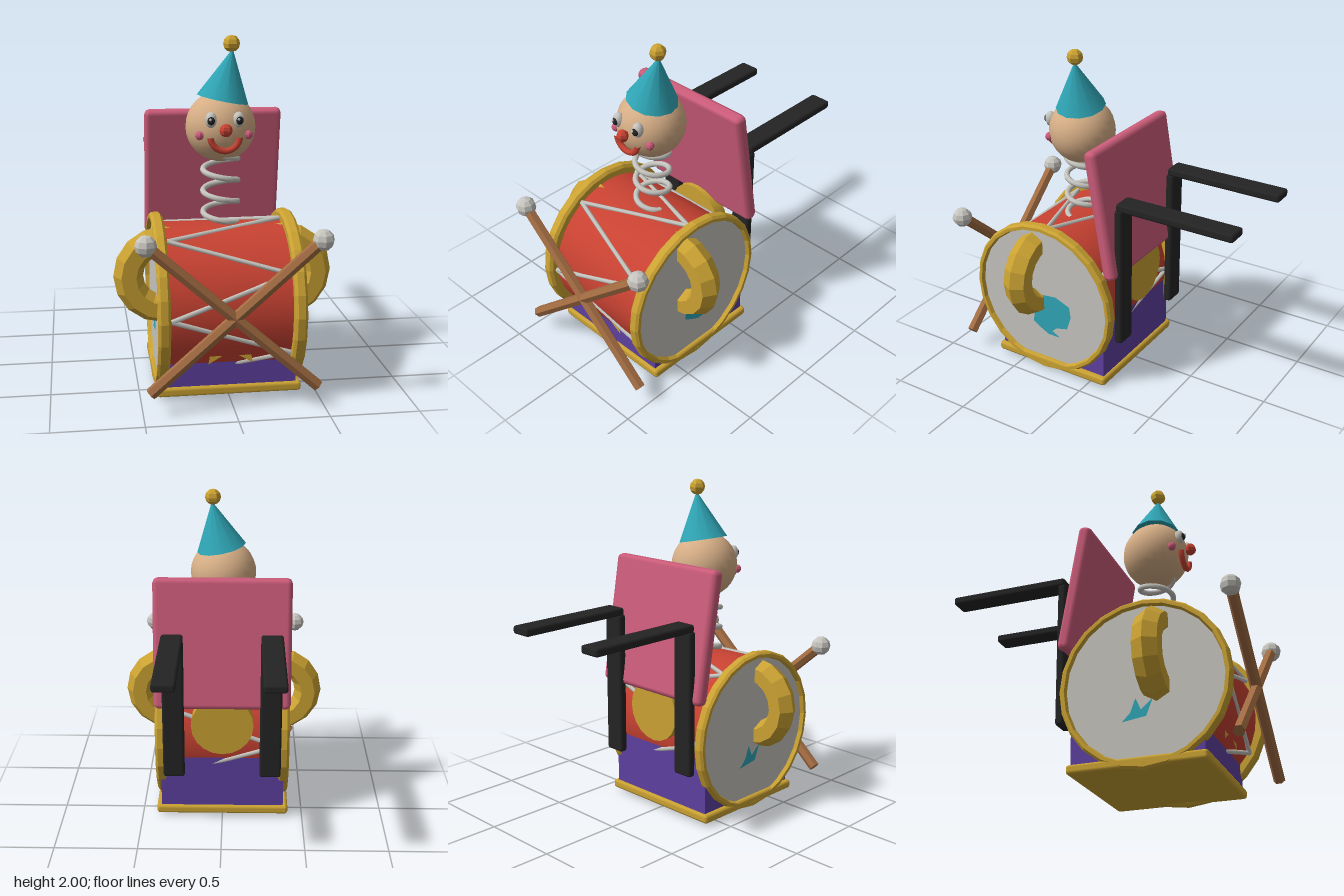
import * as THREE from 'three';
import { RoundedBoxGeometry } from 'three/addons/geometries/RoundedBoxGeometry.js';

const mat = (name, color) => {
  const m = new THREE.MeshStandardMaterial({ color });
  m.name = name;
  return m;
};

export function createModel() {
  const root = new THREE.Group();
  const gold = mat('gold', 0xcba232), red = mat('red', 0xc84232), cyan = mat('cyan', 0x2fa5b5);
  const pink = mat('pink', 0xcc5c7a), purple = mat('purple', 0x5e40a0), white = mat('white', 0xc6c4be);
  const black = mat('black', 0x242424), brown = mat('brown', 0xa26c42), skin = mat('skin', 0xd6ae86);
  cyan.side = gold.side = THREE.DoubleSide;

  const add = (name, geo, material, x = 0, y = 0, z = 0, parent = root) => {
    const m = new THREE.Mesh(geo, material);
    m.name = name;
    m.position.set(x, y, z);
    parent.add(m);
    return m;
  };
  // faceted copy of a geometry
  const flat = (g) => {
    const f = g.index ? g.toNonIndexed() : g;
    f.computeVertexNormals();
    return f;
  };
  const box = (w, h, d, r) => new RoundedBoxGeometry(w, h, d, 1, r);
  const polygon = (pts) => new THREE.ShapeGeometry(new THREE.Shape(pts.map(([x, y]) => new THREE.Vector2(x, y))));

  // Box base
  add('baseTrim', box(0.82, 0.055, 0.8, 0.018), gold, 0, 0.047, 0.28);
  add('boxBody', new THREE.BoxGeometry(0.76, 0.4, 0.76), purple, 0, 0.26, 0.28);

  // Drum, axis along x
  const drum = new THREE.Group();
  drum.name = 'drum';
  drum.position.set(0, 0.498, 0.33);
  root.add(drum);
  add('drumShell', new THREE.CylinderGeometry(0.44, 0.44, 0.72, 32), red, 0, 0, 0, drum).rotation.z = Math.PI / 2;
  const rim = flat(new THREE.LatheGeometry([
    [0.43, 0.34], [0.48, 0.34], [0.497, 0.355], [0.497, 0.395], [0.485, 0.41], [0.465, 0.41], [0.455, 0.38], [0.43, 0.34],
  ].map(([r, y]) => new THREE.Vector2(r, y)), 24));
  const patch = polygon([[-0.1, 0.31], [-0.09, 0.42], [-0.02, 0.52], [0.07, 0.53], [0.17, 0.49], [0.18, 0.42],
    [0.15, 0.33], [0.07, 0.31], [0.04, 0.28], [0.1, 0.25], [0.01, 0.25], [-0.05, 0.28]]);
  const smallPatch = polygon([[-0.08, 0.28], [0.06, 0.3], [0.1, 0.4], [0.03, 0.34], [0, 0.41], [-0.03, 0.33]]);
  for (const s of [1, -1]) {
    add('drumRim', rim, gold, 0, 0, 0, drum).rotation.z = -s * Math.PI / 2;
    add('drumHead', new THREE.CylinderGeometry(0.458, 0.458, 0.025, 24), white, s * 0.373, 0, 0, drum).rotation.z = Math.PI / 2;
    add('headPatch', s > 0 ? patch : smallPatch, cyan, s * 0.389, 0, s > 0 ? 0.31 : 0.28).rotation.y = s * Math.PI / 2;
    // ring handle, half sunk in the drum
    add('sideRing', flat(new THREE.TorusGeometry(0.2, 0.085, 6, 16)), gold, s * 0.345, 0.655, 0.4);
    // ornament tips on the front
    add('frontOrnament', polygon([[-s * 0.125, 0.215], [-s * 0.11, 0.3], [s * 0.02, 0.3]]), gold, 0, 0, 0.7);
  }

  // Zigzag lacing round the shell
  const lace = new THREE.CurvePath();
  const lacePoint = (k) => {
    const a = k * Math.PI / 6;
    return new THREE.Vector3(k % 2 ? -0.335 : 0.335, 0.452 * Math.cos(a), 0.452 * Math.sin(a));
  };
  for (let k = 0; k < 12; k++) lace.add(new THREE.LineCurve3(lacePoint(k), lacePoint(k + 1)));
  for (const line of lace.curves) add('lacing', new THREE.TubeGeometry(line, 1, 0.014, 6), white, 0, 0, 0, drum);

  // Round plate behind the drum
  add('backPlate', new THREE.CylinderGeometry(0.19, 0.19, 0.08, 20), gold, 0, 0.65, -0.115).rotation.x = Math.PI / 2;

  // Open lid
  add('lid', box(0.82, 0.79, 0.08, 0.03), pink, 0, 1.157, -0.09).rotation.x = 0.168;

  // Angled straps at the back
  for (const s of [1, -1]) {
    add('strapUpright', box(0.13, 0.88, 0.05, 0.015), black, s * 0.293, 0.77, -0.187);
    add('strapArm', box(0.13, 0.05, 0.735, 0.015), black, s * 0.293, 1.228, -0.54);
  }

  // Crossed drumsticks
  for (const s of [1, -1]) {
    const a = new THREE.Vector3(s * 0.475, 0.95, 0.86), b = new THREE.Vector3(-s * 0.46, 0.125, 0.86);
    const mid = a.clone().add(b).multiplyScalar(0.5);
    const stick = add('drumstick', flat(new THREE.CylinderGeometry(0.034, 0.034, a.distanceTo(b), 6)), brown, mid.x, mid.y, mid.z);
    stick.quaternion.setFromUnitVectors(new THREE.Vector3(0, 1, 0), a.clone().sub(b).normalize());
    add('drumstickTip', flat(new THREE.SphereGeometry(0.06, 8, 6)), white, a.x, a.y, a.z);
  }

  // Spring neck
  const coil = [];
  for (let i = 0; i <= 64; i++) {
    const turn = -0.75 + 3.2 * i / 64, a = turn * Math.PI * 2;
    coil.push(new THREE.Vector3(-0.1 * Math.cos(a), 1.235 - 0.125 * turn, 0.285 + 0.1 * Math.sin(a)));
  }
  add('spring', new THREE.TubeGeometry(new THREE.CatmullRomCurve3(coil), 96, 0.017, 8), white);

  // Clown head
  const head = new THREE.Group();
  head.name = 'head';
  head.position.set(0, 1.487, 0.285);
  root.add(head);
  add('face', new THREE.SphereGeometry(0.2, 24, 16), skin, 0, 0, 0, head);
  for (const s of [1, -1]) {
    add('eyeWhite', new THREE.SphereGeometry(0.033, 12, 8), white, s * 0.077, 0.06, 0.175, head).scale.set(1, 1.35, 1);
    add('pupil', new THREE.SphereGeometry(0.024, 10, 8), black, s * 0.079, 0.058, 0.198, head).scale.set(0.9, 1, 0.7);
    add('eyeGlint', new THREE.SphereGeometry(0.008, 6, 4), white, s * 0.079 - 0.006, 0.066, 0.212, head);
    add('cheek', flat(new THREE.SphereGeometry(0.026, 8, 6)), pink, s * 0.137, -0.03, 0.145, head);
  }
  add('nose', flat(new THREE.SphereGeometry(0.037, 6, 6)), red, 0, 0.007, 0.22, head);
  add('mouth', new THREE.TorusGeometry(0.083, 0.018, 6, 14, Math.PI * 0.94), red, 0, -0.03, 0.187, head).rotation.z = Math.PI * 1.03;

  // Tilted hat and pompom
  const hat = new THREE.Group();
  hat.name = 'hat';
  hat.position.set(0.012, 0.153, 0);
  hat.rotation.z = -0.2;
  head.add(hat);
  add('hatCone', new THREE.ConeGeometry(0.15, 0.29, 12), cyan, 0, 0.145, 0, hat);
  add('pompom', flat(new THREE.SphereGeometry(0.048, 6, 6)), gold, 0.063, 0.465, 0, head);
  return root;
}
